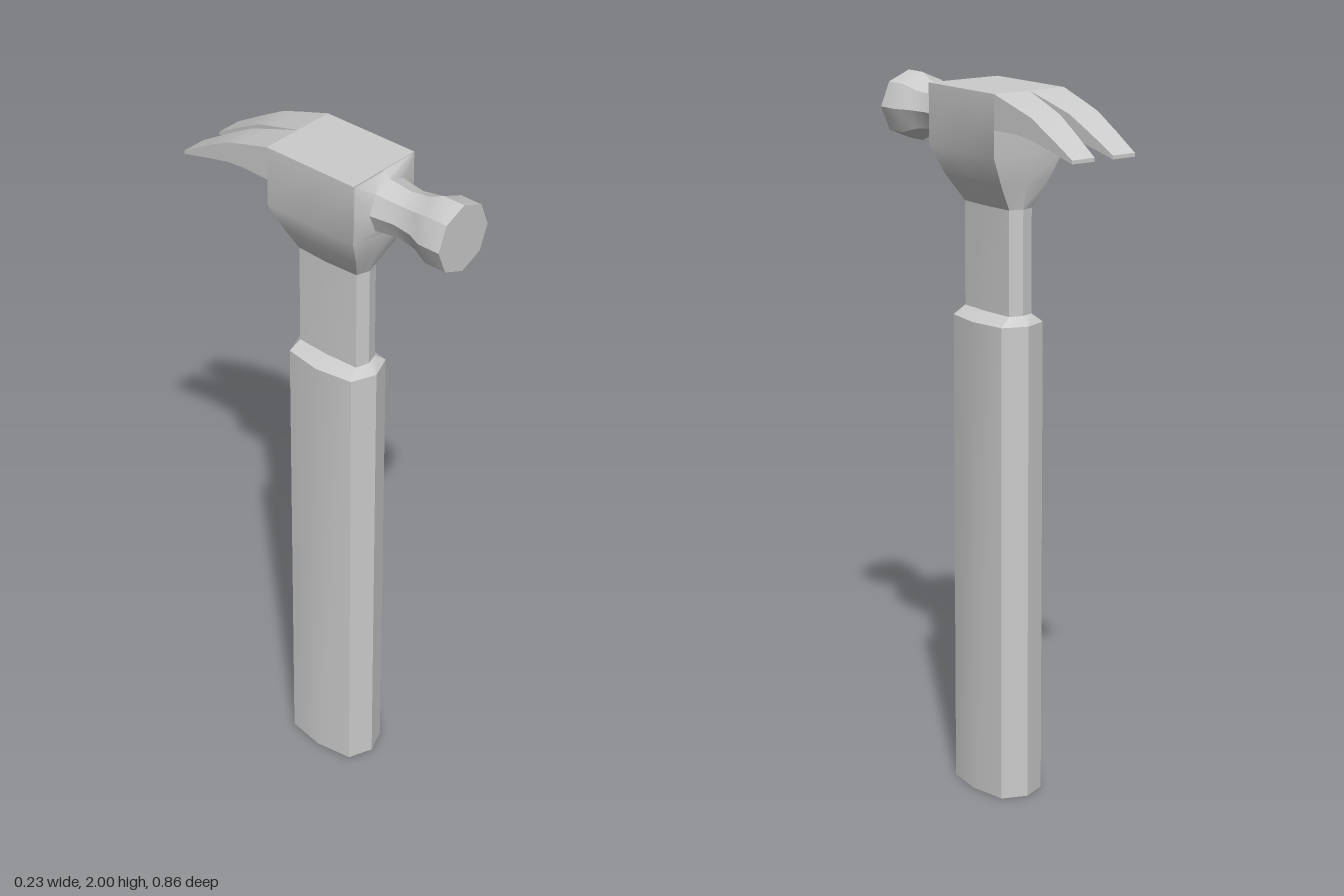
import * as THREE from 'three';
import { toCreasedNormals } from 'three/addons/utils/BufferGeometryUtils.js';

const material = new THREE.MeshStandardMaterial({ color: 0xcccccc });

// Skin a list of rings, each counter-clockwise around the direction of travel.
function loft(name, rings) {
  const n = rings[0].length, index = [];
  rings.slice(1).forEach((_, r) => {
    for (let j = 0; j < n; j++) {
      const k = (j + 1) % n, a = r * n, b = a + n;
      index.push(a + j, a + k, b + k, a + j, b + k, b + j);
    }
  });
  const end = (rings.length - 1) * n;
  for (let j = 1; j < n - 1; j++) {
    index.push(0, j + 1, j, end, end + j, end + j + 1);
  }
  const geometry = new THREE.BufferGeometry();
  geometry.setAttribute('position', new THREE.Float32BufferAttribute(rings.flat(2), 3));
  geometry.setIndex(index);
  const mesh = new THREE.Mesh(toCreasedNormals(geometry, Math.PI / 6), material);
  mesh.name = name;
  return mesh;
}

// Horizontal eight-point section: side and corner x, front and back z, corner inset in z.
function section(y, side, corner, front, back, inset) {
  const f = front - inset, b = back + inset, mid = (front + back) / 2;
  return [
    [0, y, front], [corner, y, f], [side, y, mid], [corner, y, b],
    [0, y, back], [-corner, y, b], [-side, y, mid], [-corner, y, f],
  ];
}

// Upright octagon around the striker axis.
function octagon(z, r) {
  return Array.from({ length: 8 }, (_, i) => {
    const a = i * Math.PI / 4;
    return [r * Math.cos(a), 1.905 + r * Math.sin(a), z];
  });
}

export function createModel() {
  const group = new THREE.Group();

  // Grip with a chamfered shoulder, then the thin neck
  group.add(loft('grip', [
    section(0, 0.087, 0.07, 0.155, -0.12, 0.028),
    section(1.365, 0.087, 0.07, 0.155, -0.12, 0.028),
    section(1.39, 0.043, 0.038, 0.128, -0.095, 0.012),
  ]));
  group.add(loft('neck', [
    section(1.385, 0.043, 0.038, 0.128, -0.095, 0.012),
    section(1.69, 0.043, 0.038, 0.128, -0.095, 0.012),
  ]));

  // Head block flaring out of the neck
  group.add(loft('headBlock', [
    section(1.68, 0.043, 0.038, 0.128, -0.095, 0.012),
    section(1.75, 0.082, 0.078, 0.155, -0.108, 0.006),
    section(1.83, 0.116, 0.116, 0.172, -0.12, 0),
    section(2, 0.116, 0.116, 0.172, -0.12, 0),
  ]));

  // Striker: square shoulder blending into a waisted octagonal face
  const w = 0.116, bottom = 1.83, top = 2, axis = 1.905;
  const shoulder = [
    [w, axis, 0.17], [w, top, 0.17], [0, top, 0.17], [-w, top, 0.17],
    [-w, axis, 0.17], [-w, bottom, 0.17], [0, bottom, 0.17], [w, bottom, 0.17],
  ];
  group.add(loft('striker', [
    shoulder,
    ...[[0.19, 0.075], [0.26, 0.066], [0.32, 0.075], [0.365, 0.095], [0.43, 0.095]]
      .map(([z, r]) => octagon(z, r)),
  ]));

  // Two claw prongs, tapering and curving down: z, top y, bottom y
  const profile = [
    [-0.12, 2, 1.905], [-0.21, 1.973, 1.905], [-0.27, 1.954, 1.897],
    [-0.35, 1.911, 1.877], [-0.43, 1.865, 1.855],
  ];
  for (const s of [1, -1]) {
    const rings = profile.map(([z, hi, lo]) => {
      const t = (-0.12 - z) / 0.31;
      const outer = s * (0.116 - 0.013 * t), inner = s * 0.03 * t;
      const ring = [[outer, lo, z], [inner, lo, z], [inner, hi, z], [outer, hi, z]];
      return s > 0 ? ring : ring.reverse();
    });
    group.add(loft(s > 0 ? 'leftClaw' : 'rightClaw', rings));
  }
  return group;
}
